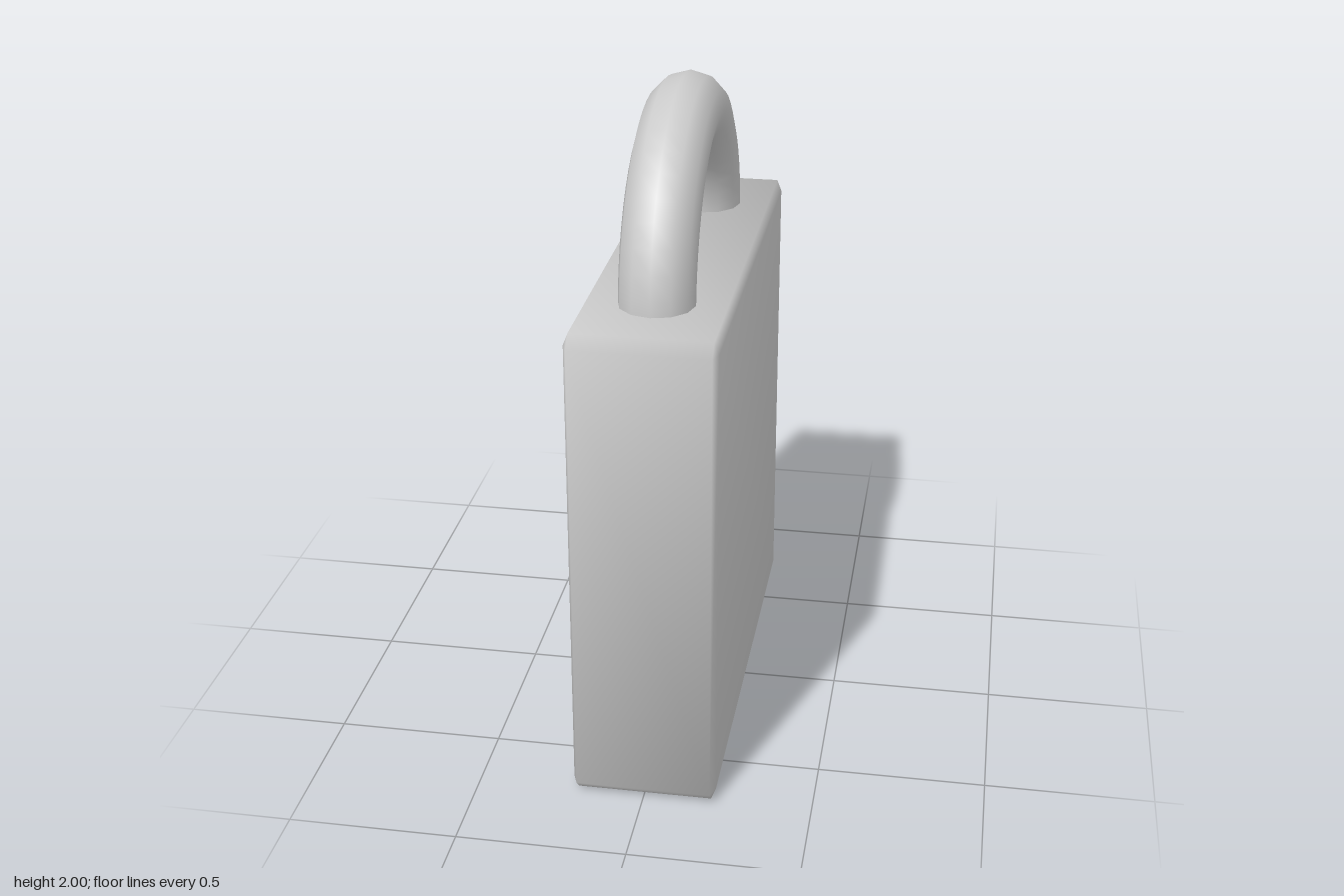
import * as THREE from 'three';
import { ConvexGeometry } from 'three/addons/geometries/ConvexGeometry.js';

// Box with chamfered edges; softened normals blend each face into its chamfers.
function chamferedBox(half, cut) {
  const points = [];
  for (const sx of [-1, 1]) for (const sy of [-1, 1]) for (const sz of [-1, 1]) {
    for (let axis = 0; axis < 3; axis++) {
      const p = half.map((h, i) => (i === axis ? h : h - cut[i]));
      points.push(new THREE.Vector3(p[0] * sx, p[1] * sy, p[2] * sz));
    }
  }
  const geometry = new ConvexGeometry(points);
  const pos = geometry.attributes.position;
  const normal = geometry.attributes.normal;

  // Average the normals of the face, two chamfers and corner meeting at each point.
  const p = new THREE.Vector3();
  for (let i = 0; i < pos.count; i++) {
    p.fromBufferAttribute(pos, i);
    const c = p.toArray();
    const axis = c.findIndex((v, k) => Math.abs(v) > half[k] - cut[k] / 2);
    const sum = new THREE.Vector3().setComponent(axis, 1);
    const others = [0, 1, 2].filter((k) => k !== axis);
    for (const k of [...others, -1]) {
      const n = new THREE.Vector3();
      for (let j = 0; j < 3; j++) {
        if (k === -1 || j === axis || j === k) n.setComponent(j, 1 / cut[j]);
      }
      sum.add(n.normalize());
    }
    sum.normalize();
    normal.setXYZ(i, sum.x * Math.sign(p.x), sum.y * Math.sign(p.y), sum.z * Math.sign(p.z));
  }
  return geometry;
}

export function createModel() {
  const group = new THREE.Group();
  group.name = 'padlock';
  const material = new THREE.MeshStandardMaterial({ color: 0xcccccc });

  // Slab-shaped lock body
  const body = new THREE.Mesh(chamferedBox([0.214, 0.735, 0.735], [0.014, 0.036, 0.036]), material);
  body.name = 'body';
  body.position.y = 0.735;
  group.add(body);

  // Half-ring shackle, its ends sunk into the body
  const shackle = new THREE.Mesh(new THREE.TorusGeometry(0.449, 0.111, 12, 24, Math.PI), material);
  shackle.name = 'shackle';
  shackle.rotation.y = Math.PI / 2;
  shackle.position.y = 1.44;
  group.add(shackle);

  return group;
}
